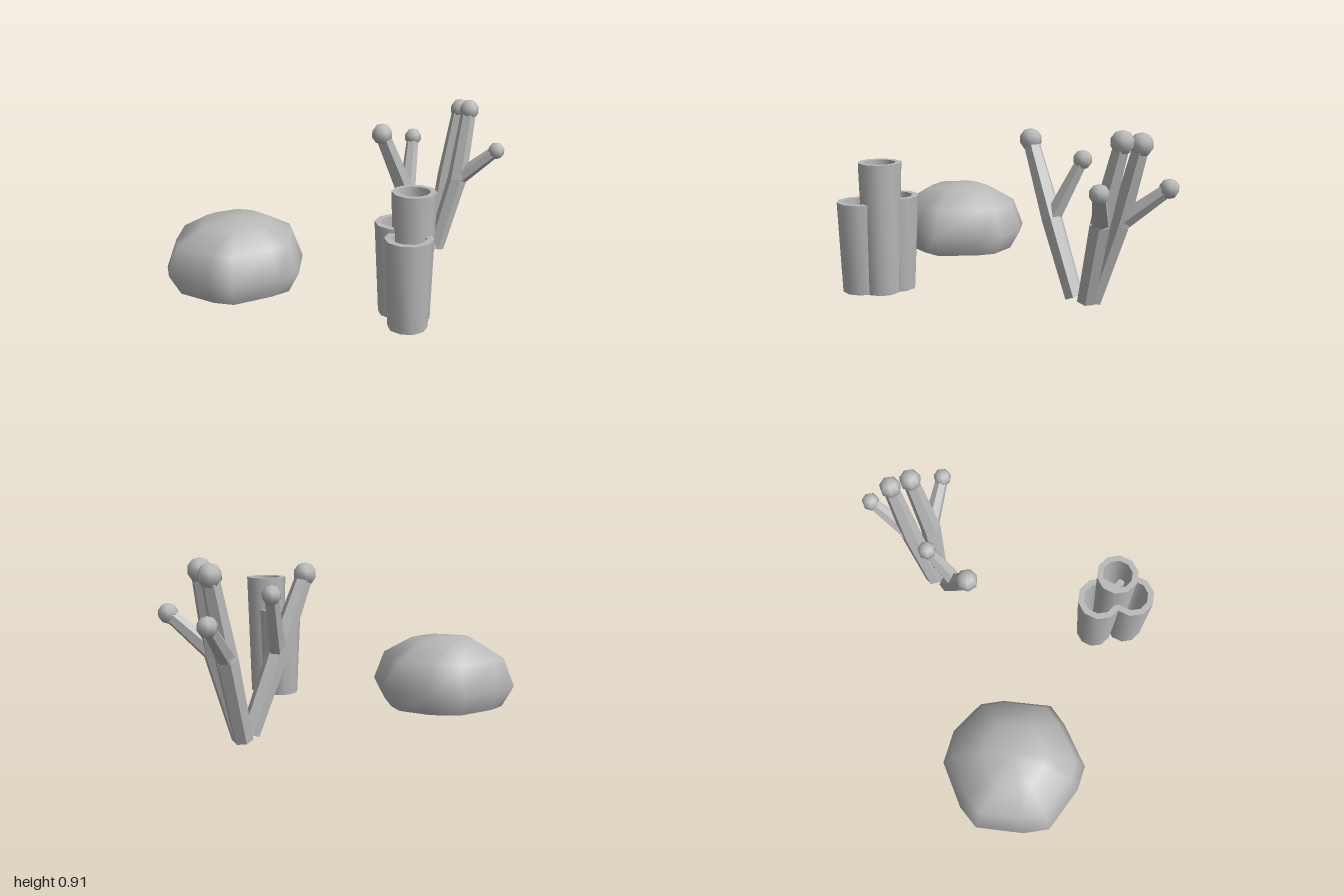
import * as THREE from 'three';
import { toCreasedNormals } from 'three/addons/utils/BufferGeometryUtils.js';

export function createModel() {
  const model = new THREE.Group();
  model.name = 'coralSet';
  const grey = new THREE.MeshStandardMaterial({ color: 0xb8b8b8 });
  grey.name = 'coralGrey';

  const add = (parent, name, geometry) => {
    const mesh = new THREE.Mesh(geometry, grey);
    mesh.name = name;
    parent.add(mesh);
    return mesh;
  };

  // Boulder coral: an irregular outline scaled into stacked rings
  const outline = [
    [-0.55, -0.52], [-0.38, -0.44], [-0.25, -0.27], [-0.25, -0.14], [-0.32, 0.12], [-0.44, 0.18],
    [-0.69, 0.25], [-0.81, 0.19], [-1, 0], [-1, -0.14], [-0.93, -0.39], [-0.81, -0.46],
  ];
  const rings = [[0.04, 0.84], [0.155, 1], [0.31, 0.85], [0.4, 0.45]];
  const cx = -0.625, cz = -0.13, n = outline.length;
  const ringPoint = (j, y, s) => [cx + (outline[j][0] - cx) * s, y, cz + (outline[j][1] - cz) * s];

  const domePoints = [], domeFaces = [];
  rings.forEach(([y, s]) => outline.forEach((_, j) => domePoints.push(...ringPoint(j, y, s))));
  domePoints.push(cx, 0.417, cz);
  for (let i = 0; i < rings.length; i++) {
    for (let j = 0; j < n; j++) {
      const a = i * n + j, b = i * n + (j + 1) % n;
      if (i === rings.length - 1) domeFaces.push(a, rings.length * n, b);
      else domeFaces.push(a, a + n, b, b, a + n, b + n);
    }
  }
  const basePoints = [cx, 0.04, cz], baseFaces = [];
  for (let j = 0; j < n; j++) {
    basePoints.push(...ringPoint(j, ...rings[0]));
    baseFaces.push(0, j + 1, (j + 1) % n + 1);
  }
  const surface = (points, faces) => {
    const g = new THREE.BufferGeometry();
    g.setAttribute('position', new THREE.Float32BufferAttribute(points, 3));
    g.setIndex(faces);
    g.computeVertexNormals();
    return g;
  };
  const boulder = new THREE.Group();
  boulder.name = 'boulderCoral';
  add(boulder, 'boulderDome', surface(domePoints, domeFaces));
  add(boulder, 'boulderBase', surface(basePoints, baseFaces));
  model.add(boulder);

  // Tube corals: tapered hollow pipes, closed at the foot
  const tubes = new THREE.Group();
  tubes.name = 'tubeCorals';
  [
    ['tallTube', 0.185, 0.545, 0.715, 0.112],
    ['frontTube', 0.135, 0.638, 0.51, 0.122],
    ['backTube', 0.135, 0.455, 0.532, 0.122],
  ].forEach(([name, x, z, top, r]) => {
    const foot = r * 0.82;
    const profile = [
      [0, 0.04], [foot, 0.04], [r, top], [r * 0.72, top], [foot * 0.72, 0.1], [0, 0.1],
    ].map(([px, py]) => new THREE.Vector2(px, py));
    const geometry = toCreasedNormals(new THREE.LatheGeometry(profile, 10), 0.7);
    add(tubes, name, geometry).position.set(x, 0, z);
  });
  model.add(tubes);

  // Branching coral: hexagonal limbs with a rounded bud on each tip
  const branching = new THREE.Group();
  branching.name = 'branchCoral';
  const up = new THREE.Vector3(0, 1, 0);
  const limb = (name, from, to, r0, r1) => {
    const a = new THREE.Vector3(...from), b = new THREE.Vector3(...to);
    const g = new THREE.CylinderGeometry(r1, r0, a.distanceTo(b), 6).toNonIndexed();
    g.computeVertexNormals();
    const mesh = add(branching, name, g);
    mesh.position.copy(a).lerp(b, 0.5);
    mesh.quaternion.setFromUnitVectors(up, b.sub(a).normalize());
  };
  const bud = (at, r) => add(branching, 'bud', new THREE.SphereGeometry(r, 7, 5)).position.set(...at);

  [
    // base, fork, main tip, side tip
    [[0.57, 0.03, -0.365], [0.405, 0.41, -0.305], [0.235, 0.8, -0.25], [0.475, 0.722, -0.438]],
    [[0.625, 0.025, -0.405], [0.75, 0.45, -0.41], [0.832, 0.858, -0.472], [0.948, 0.642, -0.302]],
    [[0.625, 0.025, -0.44], [0.725, 0.44, -0.525], [0.815, 0.84, -0.583], [0.863, 0.628, -0.715]],
  ].forEach(([base, fork, tip, side]) => {
    limb('trunk', base, fork, 0.05, 0.057);
    limb('mainBranch', fork, tip, 0.057, 0.044);
    limb('sideBranch', fork, side, 0.048, 0.034);
    bud(tip, 0.06);
    bud(side, 0.05);
  });
  model.add(branching);

  return model;
}
